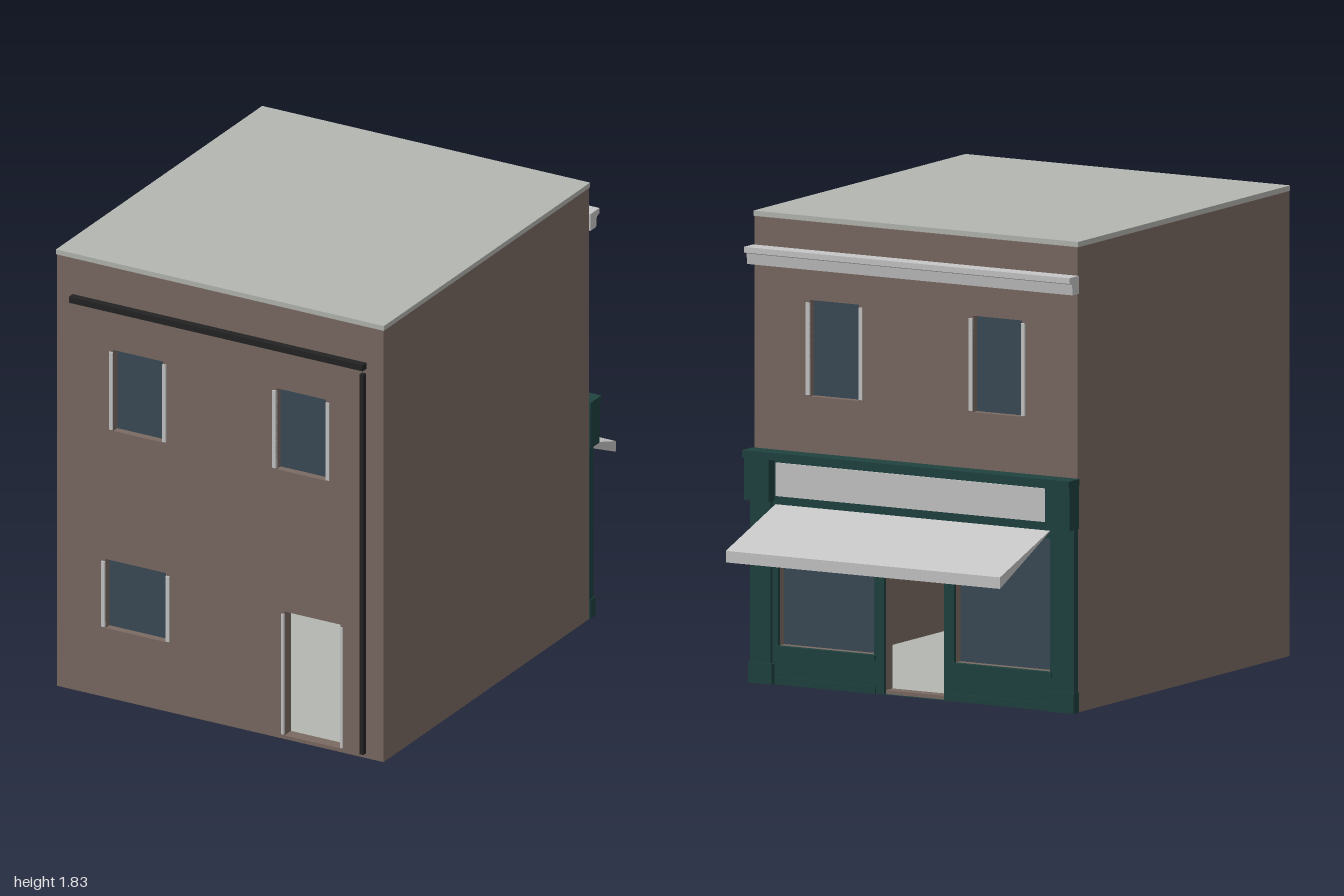
import * as THREE from 'three';

const mat = (name, color) => {
  const m = new THREE.MeshStandardMaterial({ color });
  m.name = name;
  return m;
};

export function createModel() {
  const model = new THREE.Group();
  model.name = 'shopBuilding';
  const brick = mat('brick', 0x7a6a62), roofGrey = mat('roofGrey', 0xb4b7b1), pale = mat('paleTrim', 0xc6c6c6);
  const green = mat('darkGreen', 0x1f423f), glass = mat('glass', 0x3b4a56), black = mat('blackMetal', 0x232323);

  const add = (name, geometry, material, parent = model) => {
    const m = new THREE.Mesh(geometry, material);
    m.name = name;
    parent.add(m);
    return m;
  };
  // Box given by its limits on each axis
  const box = (name, material, [x0, x1], [y0, y1], [z0, z1], parent) => {
    const m = add(name, new THREE.BoxGeometry(x1 - x0, y1 - y0, z1 - z0), material, parent);
    m.position.set((x0 + x1) / 2, (y0 + y1) / 2, (z0 + z1) / 2);
    return m;
  };
  // Upright slab with rectangular openings [x0, x1, y0, y1]
  const slab = (name, material, [x0, x1, y0, y1], openings, z0, z1) => {
    const trace = (p, [a, b, c, d]) => p.moveTo(a, c).lineTo(b, c).lineTo(b, d).lineTo(a, d).closePath();
    const shape = trace(new THREE.Shape(), [x0, x1, y0, y1]);
    for (const o of openings) shape.holes.push(trace(new THREE.Path(), o));
    const g = new THREE.ExtrudeGeometry(shape, { depth: z1 - z0, bevelEnabled: false });
    return add(name, g.translate(0, 0, z0), material);
  };
  // Side profile of (z, y) points drawn out along x
  const profile = (name, material, points, halfWidth) => {
    const shape = new THREE.Shape(points.map(([z, y]) => new THREE.Vector2(z, y)));
    const g = new THREE.ExtrudeGeometry(shape, { depth: 2 * halfWidth, bevelEnabled: false });
    return add(name, g.rotateY(-Math.PI / 2).translate(halfWidth, 0, 0), material);
  };

  const W = 0.725, FRONT = 0.97, BACK = -0.605, T = 0.05;
  const frontWindows = [[-0.475, -0.255, 1.125, 1.465], [0.25, 0.47, 1.125, 1.465], [-0.51, -0.24, 0.29, 0.58]];
  const backWindows = [[-0.475, -0.255, 1.13, 1.505], [0.255, 0.475, 1.13, 1.505]];
  const shopWindows = [[-0.61, -0.18, 0.15, 0.67], [0.18, 0.61, 0.15, 0.67]];
  const transom = [-0.13, 0.13, 0.62, 0.67];
  const frontDoor = [0.285, 0.535, 0.015, 0.535], backDoor = [-0.135, 0.135, 0.015, 0.56];

  // Hollow shell, floor and flat roof
  slab('frontWall', brick, [-W, W, 0, 1.81], [...frontWindows, frontDoor], FRONT - T, FRONT);
  slab('backWall', brick, [-W, W, 0, 1.81], [...backWindows, ...shopWindows, transom, backDoor], BACK, BACK + T);
  for (const s of [-1, 1]) {
    const xs = s < 0 ? [-W, -W + T] : [W - T, W];
    box('sideWall', brick, xs, [0, 1.81], [BACK + T, FRONT - T]);
  }
  box('floor', roofGrey, [-W + 0.005, W - 0.005], [-0.001, 0.014], [BACK + 0.005, FRONT - 0.005]);
  box('roof', roofGrey, [-0.728, 0.728], [1.812, 1.832], [BACK - 0.002, FRONT + 0.002]);

  // Window panes and pale side jambs
  const jambs = ([x0, x1, y0, y1], z, w) => {
    for (const x of [x0 - w, x1]) box('jamb', pale, [x, x + w], [y0 + 0.005, y1 - 0.01], [z - 0.006, z + 0.006]);
  };
  for (const o of frontWindows) {
    box('frontPane', glass, [o[0], o[1]], [o[2], o[3]], [FRONT - 0.04, FRONT - 0.031]);
    jambs(o, FRONT, 0.016);
  }
  for (const o of [...backWindows, ...shopWindows, transom])
    box('backPane', glass, [o[0], o[1]], [o[2], o[3]], [BACK + 0.031, BACK + 0.04]);
  for (const o of backWindows) jambs(o, BACK, 0.016);
  jambs(frontDoor, FRONT, 0.011);

  // Glazed door leaf, hinged at its own origin and standing open into the building
  const doorLeaf = (name, x, z, width, height, inward) => {
    const g = new THREE.Group();
    g.name = name;
    g.position.set(x, 0.02, z);
    const span = (a, b) => inward > 0 ? [a, b] : [-b, -a];
    box('leaf', brick, [-0.008, 0.008], [0, height], span(0, width), g);
    const mid = width / 2;
    for (const [a, b] of [[0.03, mid - 0.01], [mid + 0.01, width - 0.03]])
      box('doorPane', glass, [-0.01, 0.01], [height * 0.48, height - 0.05], span(a, b), g);
    box('doorHandle', black, [-0.02, 0.02], [0.19, 0.23], span(width - 0.035, width - 0.02), g);
    model.add(g);
  };
  doorLeaf('frontDoor', 0.526, FRONT - T, 0.24, 0.505, -1);
  doorLeaf('backDoor', -0.126, BACK + T, 0.25, 0.535, 1);

  // Gutter and downpipe
  box('gutter', black, [-0.655, 0.65], [1.635, 1.66], [FRONT, 1]);
  box('downpipe', black, [0.63, 0.647], [0.02, 1.615], [FRONT, 0.99]);

  // Stepped cornice across the shop side
  profile('cornice', pale, [[BACK, 1.63], [-0.65, 1.63], [-0.655, 1.672], [-0.675, 1.678], [-0.675, 1.7], [BACK, 1.7]], 0.73);

  // Green shopfront with raised panels under the windows
  slab('shopfront', green, [-W, W, 0, 0.74], [...shopWindows, transom, [-0.135, 0.135, 0, 0.56]], BACK - 0.015, BACK);
  for (const [x0, x1] of shopWindows) {
    box('windowSill', green, [x0 - 0.01, x1 + 0.01], [0.13, 0.15], [BACK - 0.025, BACK - 0.01]);
    box('riserRail', green, [x0 - 0.01, x1 + 0.01], [0, 0.03], [BACK - 0.022, BACK - 0.01]);
  }
  for (const s of [-1, 1]) {
    const xs = (a, b) => s < 0 ? [-b, -a] : [a, b];
    box('pilaster', green, xs(0.635, 0.726), [0, 0.72], [-0.635, BACK]);
    box('plinth', green, xs(0.625, 0.73), [0, 0.08], [-0.643, BACK]);
    box('fasciaEnd', green, xs(0.62, 0.73), [0.715, 0.885], [-0.675, BACK]);
  }

  // Sign band, its border and the capping
  box('fascia', green, [-0.63, 0.63], [0.715, 0.885], [-0.63, BACK]);
  box('signPanel', pale, [-0.61, 0.61], [0.735, 0.865], [-0.637, -0.629]);
  box('fasciaCap', green, [-0.733, 0.733], [0.882, 0.91], [-0.685, BACK]);

  // Sloping awning
  profile('awning', pale, [[-0.63, 0.702], [-1, 0.572], [-1, 0.527], [-0.63, 0.698]], 0.615);

  return model;
}
